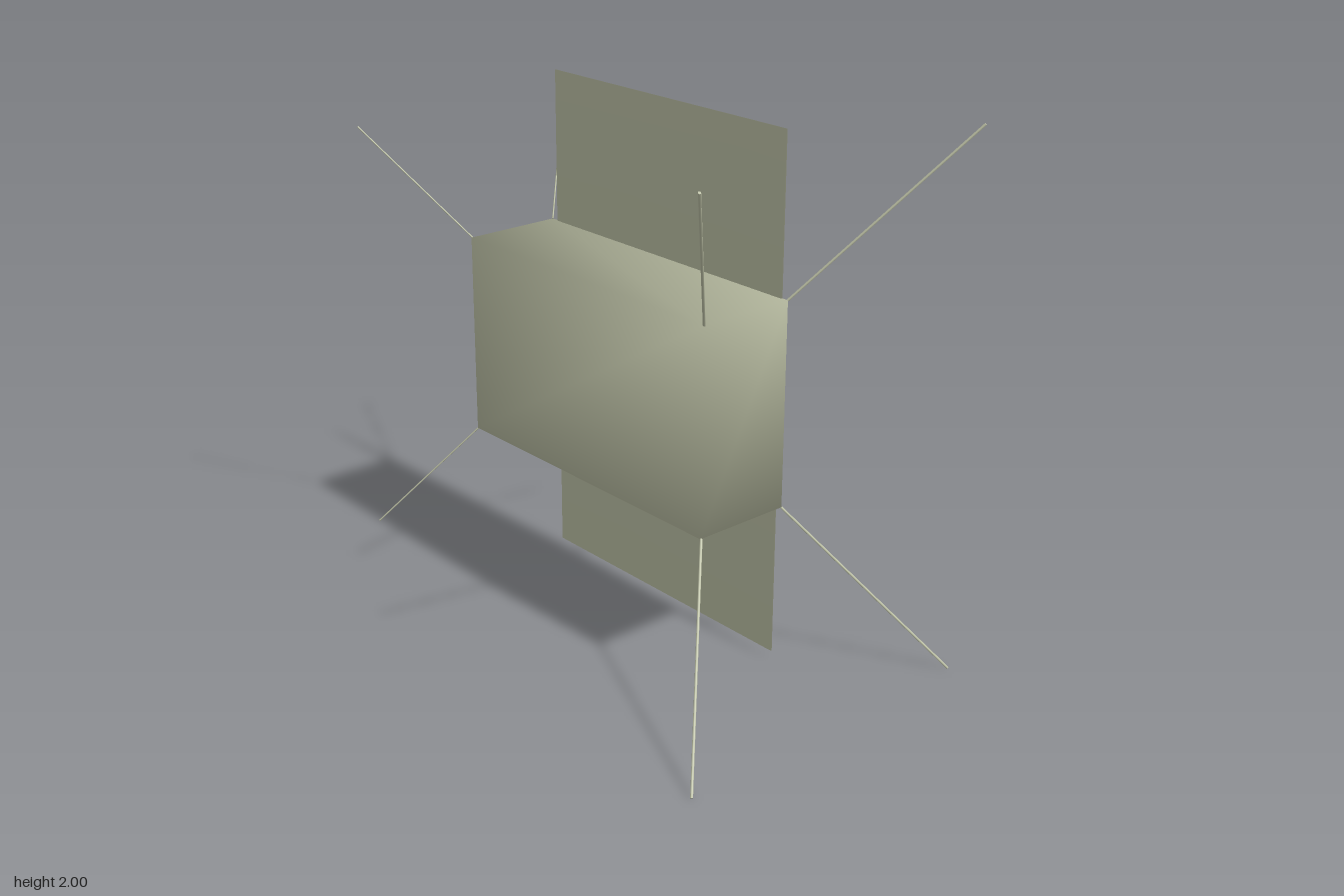
import * as THREE from 'three';
import { mergeVertices } from 'three/addons/utils/BufferGeometryUtils.js';

const beige = new THREE.MeshStandardMaterial({ color: 0xc4c8ac });
const blue = new THREE.MeshStandardMaterial({ color: 0x4f78f8 });

// Box with normals smoothed around its corners; its +x face is blue, the rest beige
function smoothBox(name, [x0, x1], [y0, y1], [z0, z1]) {
  const box = new THREE.BoxGeometry(x1 - x0, y1 - y0, z1 - z0);
  box.deleteAttribute('normal');
  box.deleteAttribute('uv');
  const geometry = mergeVertices(box);
  geometry.computeVertexNormals();
  const mesh = new THREE.Mesh(geometry, [blue, beige, beige, beige, beige, beige]);
  mesh.position.set((x0 + x1) / 2, (y0 + y1) / 2, (z0 + z1) / 2);
  mesh.name = name;
  return mesh;
}

// Thin straight rod between two points
function rod(name, from, to, radius) {
  const dir = to.clone().sub(from);
  const mesh = new THREE.Mesh(new THREE.CylinderGeometry(radius, radius, dir.length(), 6), beige);
  mesh.position.copy(from).add(to).multiplyScalar(0.5);
  mesh.quaternion.setFromUnitVectors(new THREE.Vector3(0, 1, 0), dir.normalize());
  mesh.name = name;
  return mesh;
}

export function createModel() {
  const model = new THREE.Group();
  model.name = 'satellite';

  // Main body with a solar face on +x
  model.add(smoothBox('body', [-0.194, 0.191], [0.617, 1.383], [-0.71, 0.56]));

  // Solar panels unfolded above and below the body
  model.add(smoothBox('upperPanel', [0.185, 0.19], [1.383, 1.965], [-0.675, 0.535]));
  model.add(smoothBox('lowerPanel', [0.185, 0.19], [0.035, 0.617], [-0.675, 0.535]));

  // Antennas leaving the eight corners diagonally, longer at the front
  for (const sx of [-1, 1]) {
    for (const sy of [-1, 1]) {
      model.add(rod('frontAntenna',
        new THREE.Vector3(sx * 0.19, 1 + sy * 0.383, 0.56),
        new THREE.Vector3(sx * 0.622, 1 + sy * 0.997, 0.997), 0.005));
      model.add(rod('rearAntenna',
        new THREE.Vector3(sx * 0.19, 1 + sy * 0.383, -0.71),
        new THREE.Vector3(sx * 0.48, 1 + sy * 0.795, -0.998), 0.003));
    }
  }
  return model;
}
